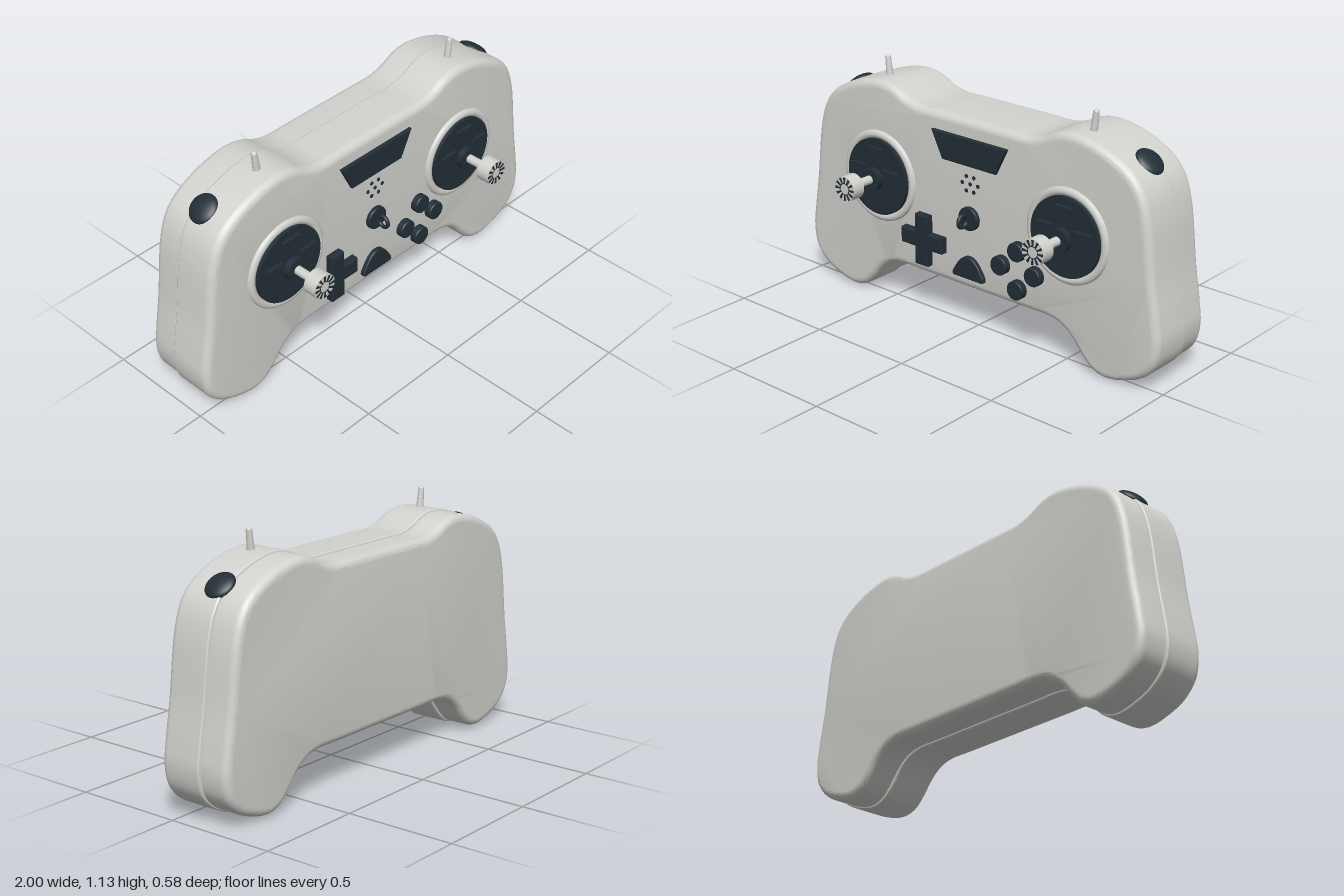
import * as THREE from 'three';
import { toCreasedNormals } from 'three/addons/utils/BufferGeometryUtils.js';

const FACE = 0.057; // z of the front panel

export function createModel() {
  const group = new THREE.Group();
  const grey = new THREE.MeshStandardMaterial({ name: 'shellGrey', color: 0xd2d2ce });
  const dark = new THREE.MeshStandardMaterial({ name: 'darkSlate', color: 0x222e37 });

  function add(name, geometry, material, x = 0, y = 0, z = 0, parent = group) {
    const mesh = new THREE.Mesh(geometry, material);
    mesh.name = name;
    mesh.position.set(x, y, z);
    parent.add(mesh);
    return mesh;
  }
  // Cylinder whose axis points at +z, from z0 to z1
  function disc(name, r, z0, z1, material, x, y, parent, sides = 40) {
    const g = new THREE.CylinderGeometry(r, r, z1 - z0, sides).rotateX(Math.PI / 2);
    return add(name, g, material, x, y, (z0 + z1) / 2, parent);
  }
  // Bevelled flat button standing on the front panel
  function plate(name, shape, height, x = 0, y = 0) {
    const b = 0.006;
    const g = new THREE.ExtrudeGeometry(shape, {
      depth: height - b, bevelEnabled: true, bevelThickness: b, bevelSize: b,
      bevelOffset: -b, bevelSegments: 2, curveSegments: 24,
    });
    return add(name, g, dark, x, y, FACE);
  }
  const polygon = (pts) => new THREE.Shape(pts.map((p) => new THREE.Vector2(...p)));

  add('shell', shellGeometry(), grey);

  // Stick units, mirrored
  for (const s of [-1, 1]) {
    const stick = new THREE.Group();
    stick.name = s > 0 ? 'leftStick' : 'rightStick';
    stick.position.set(0.534 * s, 0.597, 0);
    group.add(stick);

    const rim = [[0.178, 0.05], [0.178, 0.066], [0.184, 0.072], [0.194, 0.075],
      [0.205, 0.072], [0.212, 0.065], [0.214, 0.05]].map((p) => new THREE.Vector2(...p)).reverse();
    add('stickRim', new THREE.LatheGeometry(rim, 64).rotateX(Math.PI / 2), grey, 0, 0, 0, stick)
      .material.side = THREE.DoubleSide;
    disc('stickPlate', 0.178, 0.05, 0.083, dark, 0, 0, stick, 64);
    add('stickCrossUpright', new THREE.BoxGeometry(0.096, 0.284, 0.04), dark, 0, 0, 0.081, stick);
    add('stickCrossBar', new THREE.BoxGeometry(0.284, 0.096, 0.04), dark, 0, 0, 0.081, stick);
    disc('stickHub', 0.053, 0.09, 0.13, dark, 0, 0, stick);
    disc('stickShaft', 0.02, 0.12, 0.23, grey, 0, 0, stick, 24);
    disc('stickKnob', 0.057, 0.222, 0.286, grey, 0, 0, stick);
    // Grip notches around the end of the knob
    const notch = polygon([[0.028, -0.003], [0.054, -0.006], [0.054, 0.006], [0.028, 0.003]]);
    for (let i = 0; i < 12; i++) {
      const g = new THREE.ExtrudeGeometry(notch, { depth: 0.003, bevelEnabled: false });
      add('knobNotch', g, dark, 0, 0, 0.2855, stick).rotation.z = (i * Math.PI) / 6;
    }
    add('knobCentreRing', new THREE.RingGeometry(0.024, 0.028, 32), dark, 0, 0, 0.287, stick);

    // Toggle lever on the top edge
    const lever = new THREE.Group();
    lever.name = 'toggleLever';
    lever.position.set(0.569 * s, 1.02, -0.052);
    lever.rotation.z = -0.12 * s;
    group.add(lever);
    add('leverRod', new THREE.CylinderGeometry(0.013, 0.017, 0.1, 20), grey, 0, 0.05, 0, lever);
    add('leverTip', new THREE.SphereGeometry(0.013, 20, 12), grey, 0, 0.098, 0, lever);

    // Shoulder button on the rounded corner
    const shoulder = add('shoulderButton', new THREE.SphereGeometry(1, 32, 20), dark, 0.812 * s, 0.943, -0.106);
    shoulder.scale.set(0.067, 0.026, 0.066);
    shoulder.rotation.z = -0.66 * s;
  }

  // Screen
  plate('screen', polygon([[-0.15, 0.772], [0.15, 0.772], [0.212, 0.897], [-0.212, 0.897]]), 0.016);

  // Speaker holes
  for (const [x, y] of [[-0.021, 0.722], [0.021, 0.722], [-0.044, 0.689], [0, 0.689],
    [0.044, 0.689], [-0.021, 0.656], [0.021, 0.656]]) {
    disc('speakerHole', 0.009, FACE - 0.004, FACE + 0.003, dark, x, y, group, 16);
  }

  // Power button with lanyard loop
  plate('powerButton', new THREE.Shape().absarc(0, 0, 0.054, 0, Math.PI * 2), 0.02, 0, 0.532);
  add('lanyardLoop', new THREE.TorusGeometry(0.027, 0.009, 12, 32).rotateY(Math.PI / 2), dark, 0, 0.532, 0.108);

  // Direction pad
  const w = 0.037, l = 0.12;
  plate('directionPad', polygon([[-w, -l], [w, -l], [w, -w], [l, -w], [l, w], [w, w],
    [w, l], [-w, l], [-w, w], [-l, w], [-l, -w], [-w, -w]]), 0.036, -0.261, 0.367);

  // Domed centre button
  const dome = new THREE.Shape();
  dome.moveTo(-0.078, 0);
  dome.lineTo(0.078, 0);
  dome.quadraticCurveTo(0.094, 0.003, 0.085, 0.025);
  dome.bezierCurveTo(0.055, 0.08, 0.032, 0.104, 0, 0.104);
  dome.bezierCurveTo(-0.032, 0.104, -0.055, 0.08, -0.085, 0.025);
  dome.quadraticCurveTo(-0.094, 0.003, -0.078, 0);
  plate('centreButton', dome, 0.022, 0, 0.25);

  // Four round action buttons
  for (const [x, y] of [[0, 0.09], [-0.093, 0.002], [0.093, 0.002], [0, -0.087]]) {
    plate('actionButton', new THREE.Shape().absarc(0, 0, 0.043, 0, Math.PI * 2), 0.034, 0.276 + x, 0.368 + y);
  }
  return group;
}

// Two-part body: the outline is swept through a depth profile of [z, inset] steps
function shellGeometry() {
  const half = [[0.3, 0.193], [0.42, 0.193], [0.49, 0.178], [0.55, 0.137], [0.61, 0.067],
    [0.66, 0.022], [0.73, 0.002], [0.83, 0.022], [0.92, 0.065], [0.98, 0.135], [0.999, 0.23],
    [0.988, 0.33], [0.963, 0.48], [0.925, 0.76], [0.89, 0.865], [0.84, 0.93], [0.75, 0.986],
    [0.64, 1.025], [0.53, 1.04], [0.45, 1.025], [0.38, 0.992], [0.31, 0.975], [0.2, 0.975]];
  const mirrored = half.map(([x, y]) => [-x, y]).reverse();
  const curve = new THREE.CatmullRomCurve3(
    [...half, ...mirrored].map(([x, y]) => new THREE.Vector3(x, y, 0)), true, 'centripetal');
  curve.arcLengthDivisions = 1000;

  const back = -0.288, r = 0.035, step = 0.008, profile = [];
  for (let i = 0; i <= 6; i++) {
    const a = (i / 6) * Math.PI / 2;
    profile.push([FACE - r + r * Math.cos(a), r - r * Math.sin(a)]);
  }
  profile.push([-0.14, 0], [-0.146, 0.004], [-0.149, 0.014], [-0.152, step]); // seam
  for (let i = 0; i <= 6; i++) {
    const a = (i / 6) * Math.PI / 2;
    profile.push([back + r - r * Math.sin(a), step + r - r * Math.cos(a)]);
  }

  const n = 240, pos = [], idx = [], rings = [];
  for (const [z, inset] of profile) {
    const ring = [];
    for (let i = 0; i < n; i++) {
      const p = curve.getPointAt(i / n), t = curve.getTangentAt(i / n);
      ring.push(new THREE.Vector2(p.x - t.y * inset, p.y + t.x * inset));
      pos.push(ring[i].x, ring[i].y, z);
    }
    rings.push(ring);
  }
  for (let k = 0; k < rings.length - 1; k++) {
    for (let i = 0; i < n; i++) {
      const a = k * n + i, b = k * n + (i + 1) % n;
      idx.push(a, a + n, b, b, a + n, b + n);
    }
  }
  // Flat front and back panels
  const last = (rings.length - 1) * n;
  for (const [a, b, c] of THREE.ShapeUtils.triangulateShape(rings[0], [])) idx.push(a, b, c);
  for (const [a, b, c] of THREE.ShapeUtils.triangulateShape(rings[rings.length - 1], [])) {
    idx.push(last + a, last + c, last + b);
  }
  const g = new THREE.BufferGeometry();
  g.setAttribute('position', new THREE.Float32BufferAttribute(pos, 3));
  g.setIndex(idx);
  return toCreasedNormals(g, 0.5);
}
